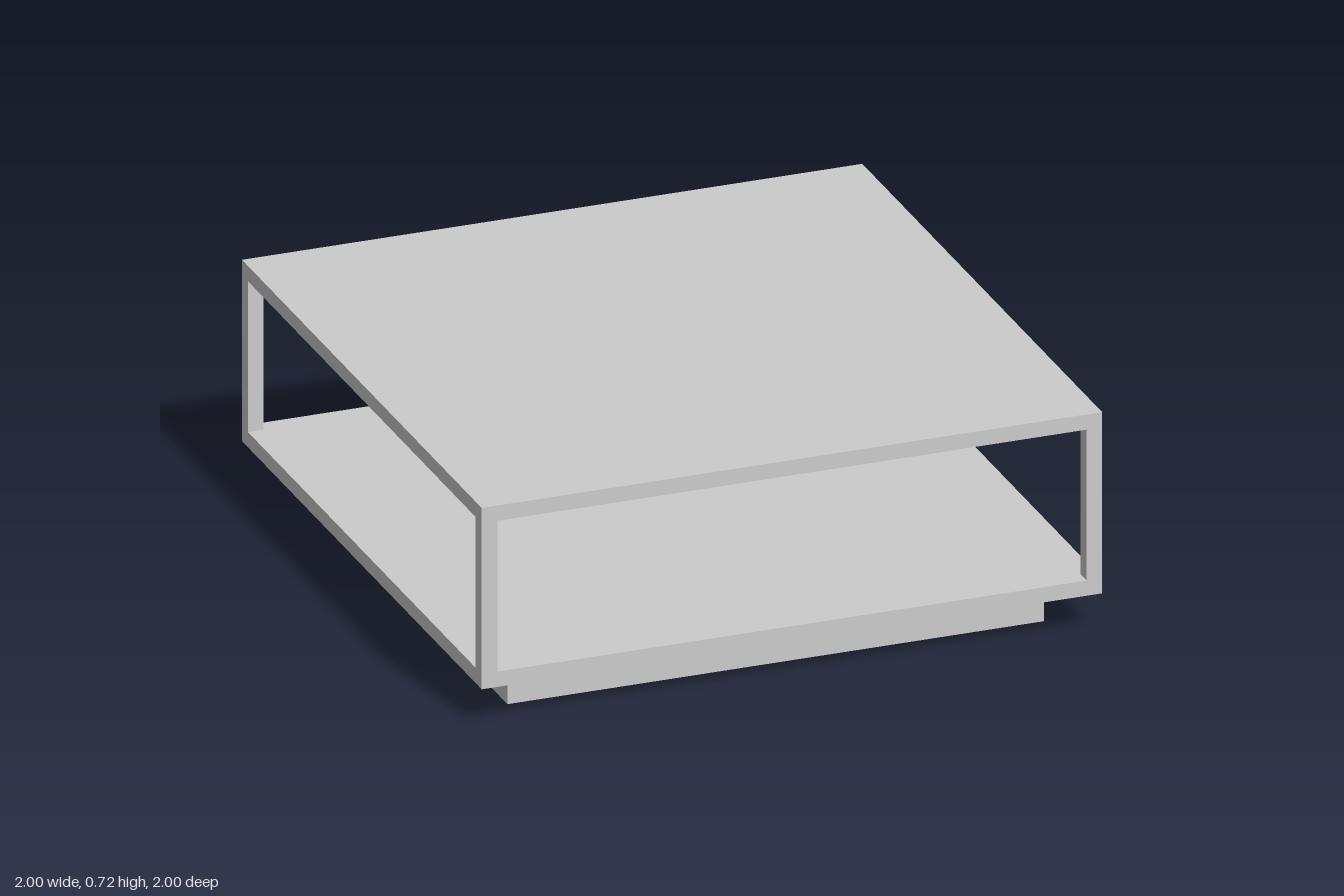
import * as THREE from 'three';

export function createModel() {
  const model = new THREE.Group();
  model.name = 'coffeeTable';
  const material = new THREE.MeshStandardMaterial({ color: 0xcccccc });

  const BAR = 0.05, BOTTOM = 0.125, TOP = 0.72;
  const INNER = 2 - 2 * BAR;      // clear span between bars
  const EDGE = 1 - BAR / 2;       // centre line of the outer bars
  const PANEL = 0.025;

  function box(name, w, h, d, x, y, z, parent = model) {
    const mesh = new THREE.Mesh(new THREE.BoxGeometry(w, h, d), material);
    mesh.name = name;
    mesh.position.set(x, y, z);
    parent.add(mesh);
  }

  // Square-section open frame
  const frame = new THREE.Group();
  frame.name = 'frame';
  model.add(frame);
  for (const s of [-1, 1]) {
    for (const t of [-1, 1]) {
      box('cornerPost', BAR, TOP - BOTTOM, BAR, s * EDGE, (TOP + BOTTOM) / 2, t * EDGE, frame);
    }
    for (const y of [BOTTOM + BAR / 2, TOP - BAR / 2]) {
      box('crossRail', INNER, BAR, BAR, 0, y, s * EDGE, frame);
      box('sideRail', BAR, BAR, INNER, s * EDGE, y, 0, frame);
    }
  }

  // Panels set flush with the upper faces of the rails
  box('tableTop', INNER, PANEL, INNER, 0, TOP - PANEL / 2, 0);
  box('lowerShelf', INNER, PANEL, INNER, 0, BOTTOM + BAR - PANEL / 2, 0);

  // Recessed plinth reaching up to the shelf
  const plinthHeight = BOTTOM + BAR - PANEL;
  box('plinth', 1.73, plinthHeight, 1.73, 0, plinthHeight / 2, 0);

  return model;
}
